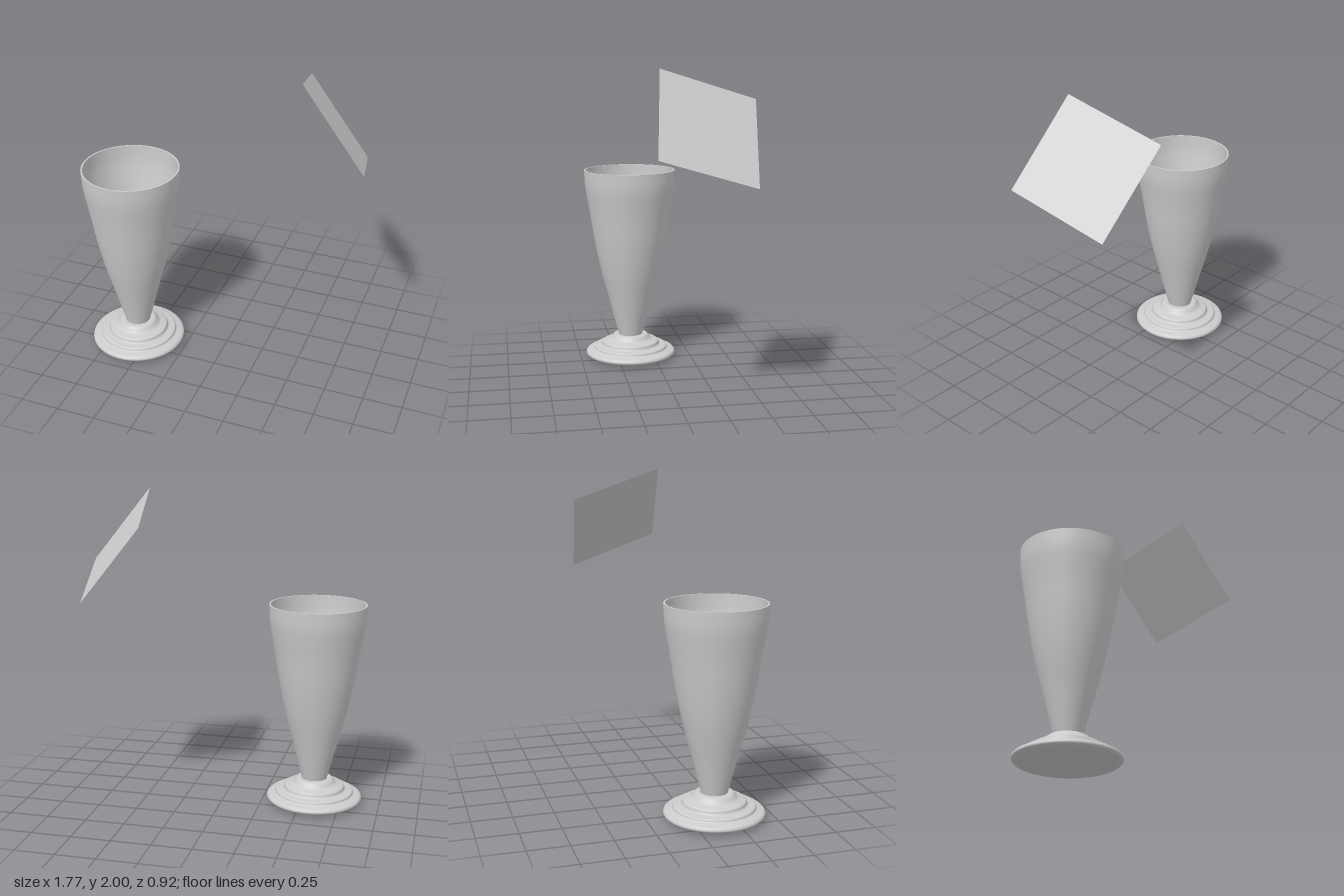
import * as THREE from 'three';

const material = new THREE.MeshStandardMaterial({ color: 0xcccccc, side: THREE.DoubleSide });
const vectors = (points) => points.map(([r, y]) => new THREE.Vector2(r, y));
const smooth = (points, steps) => new THREE.SplineCurve(vectors(points)).getPoints(steps);

function turned(name, profile) {
  const mesh = new THREE.Mesh(new THREE.LatheGeometry(profile, 64), material);
  mesh.name = name;
  return mesh;
}

export function createModel() {
  const model = new THREE.Group();

  const glass = new THREE.Group();
  glass.name = 'footedGlass';
  glass.position.set(-0.58, 0, 0.155);
  model.add(glass);

  // Flared bowl: outer wall going up, rim, inner wall going down
  const outer = [[0.08, 0.155], [0.14, 0.39], [0.195, 0.6], [0.236, 0.8], [0.268, 1.0], [0.294, 1.15], [0.302, 1.22], [0.305, 1.3]];
  const inner = outer.map(([r, y]) => [r - (y < 0.2 ? 0.005 : 0.01), y < 0.2 ? 0.17 : y]).reverse();
  glass.add(turned('bowlOutside', smooth(outer, 32)));
  glass.add(turned('bowlRim', vectors([outer.at(-1), inner[0]])));
  glass.add(turned('bowlInside', smooth(inner, 32)));
  glass.add(turned('bowlFloor', vectors([[0.075, 0.17], [0, 0.17]])));

  // Stepped round foot with soft ridges
  glass.add(turned('footUnderside', vectors([[0, 0], [0.1, 0.003], [0.2, 0.007], [0.27, 0.012]])));
  glass.add(turned('footSteps', smooth([
    [0.27, 0.012], [0.295, 0.02], [0.305, 0.033], [0.295, 0.05], [0.26, 0.06],
    [0.25, 0.066], [0.243, 0.08], [0.205, 0.086], [0.195, 0.095], [0.188, 0.112],
    [0.155, 0.122], [0.138, 0.13], [0.122, 0.15], [0.108, 0.16], [0.08, 0.16],
  ], 70)));

  // Tilted square panel floating beside the glass
  const panel = new THREE.Mesh(new THREE.PlaneGeometry(0.622, 0.622), material);
  panel.name = 'tiltedPanel';
  const u = new THREE.Vector3(0.397, -0.47, 0.072).normalize();
  const v = new THREE.Vector3(0.108, 0.18, 0.583).normalize();
  const n = new THREE.Vector3().crossVectors(u, v).normalize();
  v.crossVectors(n, u);
  panel.quaternion.setFromRotationMatrix(new THREE.Matrix4().makeBasis(u, v, n));
  panel.position.set(0.634, 1.675, -0.136);
  model.add(panel);

  return model;
}
